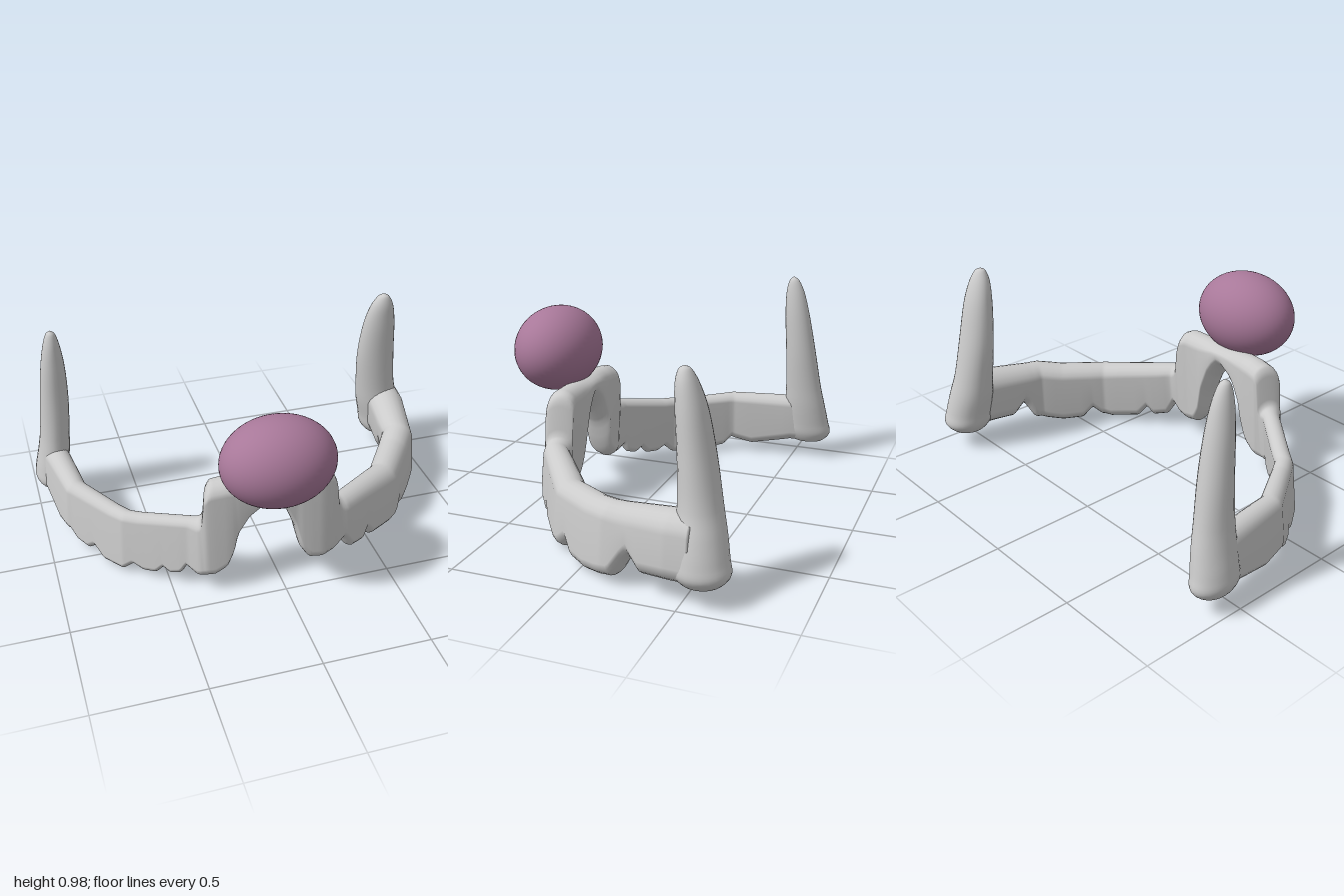
import * as THREE from 'three';

const grey = new THREE.MeshStandardMaterial({ color: 0xcccccc, side: THREE.DoubleSide });

// Piecewise-linear lookup in a list of [key, value] pairs
function lookup(table, k) {
  if (k <= table[0][0]) return table[0][1];
  for (let i = 1; i < table.length; i++) {
    const [k0, v0] = table[i - 1], [k1, v1] = table[i];
    if (k <= k1) return v0 + (v1 - v0) * (k - k0) / (k1 - k0);
  }
  return table[table.length - 1][1];
}

// Skin a closed, smooth tube over a list of equal-sized rings
function loft(rings, name) {
  const n = rings[0].length, pos = [], index = [];
  const centre = r => r.reduce((s, p) => s.add(p), new THREE.Vector3()).divideScalar(n);
  rings.forEach(r => r.forEach(p => pos.push(p.x, p.y, p.z)));
  for (let i = 0; i < rings.length - 1; i++)
    for (let j = 0; j < n; j++) {
      const a = i * n + j, b = i * n + (j + 1) % n;
      index.push(a, a + n, b, b, a + n, b + n);
    }
  const last = (rings.length - 1) * n, c0 = rings.length * n, c1 = c0 + 1;
  for (const r of [rings[0], rings[rings.length - 1]]) pos.push(...centre(r).toArray());
  for (let j = 0; j < n; j++) {
    const k = (j + 1) % n;
    index.push(c0, j, k, c1, last + k, last + j);
  }
  const g = new THREE.BufferGeometry();
  g.setAttribute('position', new THREE.Float32BufferAttribute(pos, 3));
  g.setIndex(index);
  g.computeVertexNormals();
  const mesh = new THREE.Mesh(g, grey);
  mesh.name = name;
  return mesh;
}

// Curved band with raised bridge: plan path, edge heights and thickness along x
const plan = [[-0.9, -0.54], [-0.885, -0.45], [-0.845, -0.17], [-0.655, 0.12], [-0.36, 0.34], [-0.2, 0.358],
  [0.18, 0.358], [0.31, 0.34], [0.62, 0.115], [0.82, -0.17], [0.875, -0.45], [0.885, -0.55]];
const topEdge = [[-0.89, 0.34], [-0.7, 0.32], [-0.6, 0.33], [-0.37, 0.38], [-0.35, 0.4], [-0.338, 0.54],
  [-0.315, 0.575], [-0.25, 0.585], [0.2, 0.585], [0.24, 0.565], [0.255, 0.53], [0.268, 0.39],
  [0.3, 0.367], [0.62, 0.33], [0.75, 0.338], [0.83, 0.36], [0.88, 0.39]];
const bottomEdge = [[-0.89, 0.09], [-0.86, 0.05], [-0.84, 0.08], [-0.815, 0.035], [-0.78, 0.025], [-0.755, 0.06],
  [-0.72, 0.01], [-0.66, 0.015], [-0.62, 0.06], [-0.58, 0.035], [-0.53, 0.04], [-0.5, 0.08],
  [-0.47, 0.055], [-0.43, 0.07], [-0.41, 0.12], [-0.37, 0.085], [-0.3, 0.085], [-0.25, 0.12],
  [-0.22, 0.19], [-0.2, 0.28], [-0.15, 0.36], [-0.06, 0.43], [-0.03, 0.43], [0.03, 0.36], [0.07, 0.27],
  [0.1, 0.15], [0.14, 0.09], [0.2, 0.08], [0.25, 0.1], [0.3, 0.15], [0.34, 0.07], [0.4, 0.055],
  [0.43, 0.1], [0.47, 0.04], [0.59, 0.02], [0.63, 0.03], [0.66, 0.075], [0.69, 0.015], [0.75, 0.008],
  [0.8, 0.025], [0.826, 0.04], [0.836, 0.13], [0.841, 0.155], [0.852, 0.09], [0.88, 0.095]];
const halfThick = [[-0.89, 0.062], [-0.83, 0.05], [-0.65, 0.042], [-0.4, 0.042], [-0.33, 0.07], [0.2, 0.07],
  [0.33, 0.062], [0.6, 0.072], [0.82, 0.078], [0.875, 0.095]];
// how much the underside of the bridge rises toward the back
const backLift = [[-0.24, 0], [-0.12, 0.07], [0, 0.07], [0.12, 0]];

function band() {
  const path = new THREE.CurvePath();
  const pts = plan.map(([x, z]) => new THREE.Vector3(x, 0, z));
  for (let i = 1; i < pts.length; i++) path.add(new THREE.LineCurve3(pts[i - 1], pts[i]));
  const rings = [], steps = 280, sides = 20;
  for (let i = 0; i <= steps; i++) {
    const t = i / steps, p = path.getPointAt(t);
    // averaged tangent softens the corners of the plan
    const dir = path.getPointAt(Math.min(1, t + 0.03)).sub(path.getPointAt(Math.max(0, t - 0.03))).normalize();
    const out = new THREE.Vector3(-dir.z, 0, dir.x);
    const top = lookup(topEdge, p.x), bottom = lookup(bottomEdge, p.x), h = lookup(halfThick, p.x);
    const lift = lookup(backLift, p.x);
    const r = Math.min(h, (top - bottom) / 2), ring = [];
    for (let j = 0; j < sides; j++) {
      const a = (j + 0.5) / sides * Math.PI * 2, s = Math.sin(a), c = Math.cos(a);
      const y = (s > 0 ? top - r : bottom + r) + r * s;
      const lean = 0.025 - 0.09 * Math.min(y, 0.3);
      const raise = lift * (1 - c) / 2 * (top - y) / (top - bottom);
      ring.push(p.clone().addScaledVector(out, h * c + lean).setY(y + raise));
    }
    rings.push(ring);
  }
  return loft(rings, 'band');
}

// Upright horn: rows of [y, centre x, centre z, radius x, radius z], smoothed by a spline
function horn(rows, name) {
  const pick = k => new THREE.CatmullRomCurve3(rows.map(r => new THREE.Vector3(...k(r))), false, 'centripetal');
  const axis = pick(r => [r[1], r[0], r[2]]), size = pick(r => [r[3], r[0], r[4]]);
  const rings = [];
  for (let i = 0; i <= 48; i++) {
    const c = axis.getPoint(i / 48), s = size.getPoint(i / 48), ring = [];
    for (let j = 0; j < 24; j++) {
      const a = j / 24 * Math.PI * 2;
      const dx = Math.max(s.x, 0.002) * Math.cos(a), dz = Math.max(s.z, 0.002) * Math.sin(a);
      ring.push(new THREE.Vector3(c.x + dx, c.y, c.z + dz));
    }
    rings.push(ring);
  }
  return loft(rings, name);
}

export function createModel() {
  const group = new THREE.Group();
  group.name = 'archFrame';
  group.add(band());

  group.add(horn([
    [0.085, 0.89, -0.57, 0.02, 0.02], [0.095, 0.89, -0.57, 0.075, 0.08], [0.14, 0.89, -0.57, 0.11, 0.12],
    [0.2, 0.882, -0.565, 0.113, 0.115], [0.3, 0.86, -0.555, 0.113, 0.105], [0.4, 0.84, -0.545, 0.104, 0.092],
    [0.6, 0.822, -0.522, 0.098, 0.077], [0.8, 0.82, -0.494, 0.079, 0.062], [0.9, 0.822, -0.475, 0.053, 0.043],
    [0.945, 0.823, -0.468, 0.025, 0.022], [0.955, 0.823, -0.467, 0.002, 0.002]], 'leftHorn'));
  group.add(horn([
    [0.085, -0.92, -0.57, 0.02, 0.02], [0.095, -0.92, -0.57, 0.055, 0.08], [0.14, -0.92, -0.57, 0.08, 0.12],
    [0.2, -0.912, -0.565, 0.082, 0.115], [0.3, -0.895, -0.555, 0.078, 0.105], [0.4, -0.883, -0.545, 0.073, 0.093],
    [0.6, -0.868, -0.525, 0.069, 0.077], [0.8, -0.86, -0.5, 0.056, 0.062], [0.92, -0.857, -0.485, 0.037, 0.044],
    [0.975, -0.856, -0.478, 0.02, 0.022], [0.99, -0.856, -0.476, 0.002, 0.002]], 'rightHorn'));

  // Coloured ball resting on the bridge
  const ball = new THREE.Mesh(new THREE.SphereGeometry(1, 48, 32),
    new THREE.MeshStandardMaterial({ color: 0xa87899 }));
  ball.scale.set(0.26, 0.203, 0.203);
  ball.position.set(-0.043, 0.722, 0.485);
  ball.name = 'ball';
  group.add(ball);
  return group;
}
